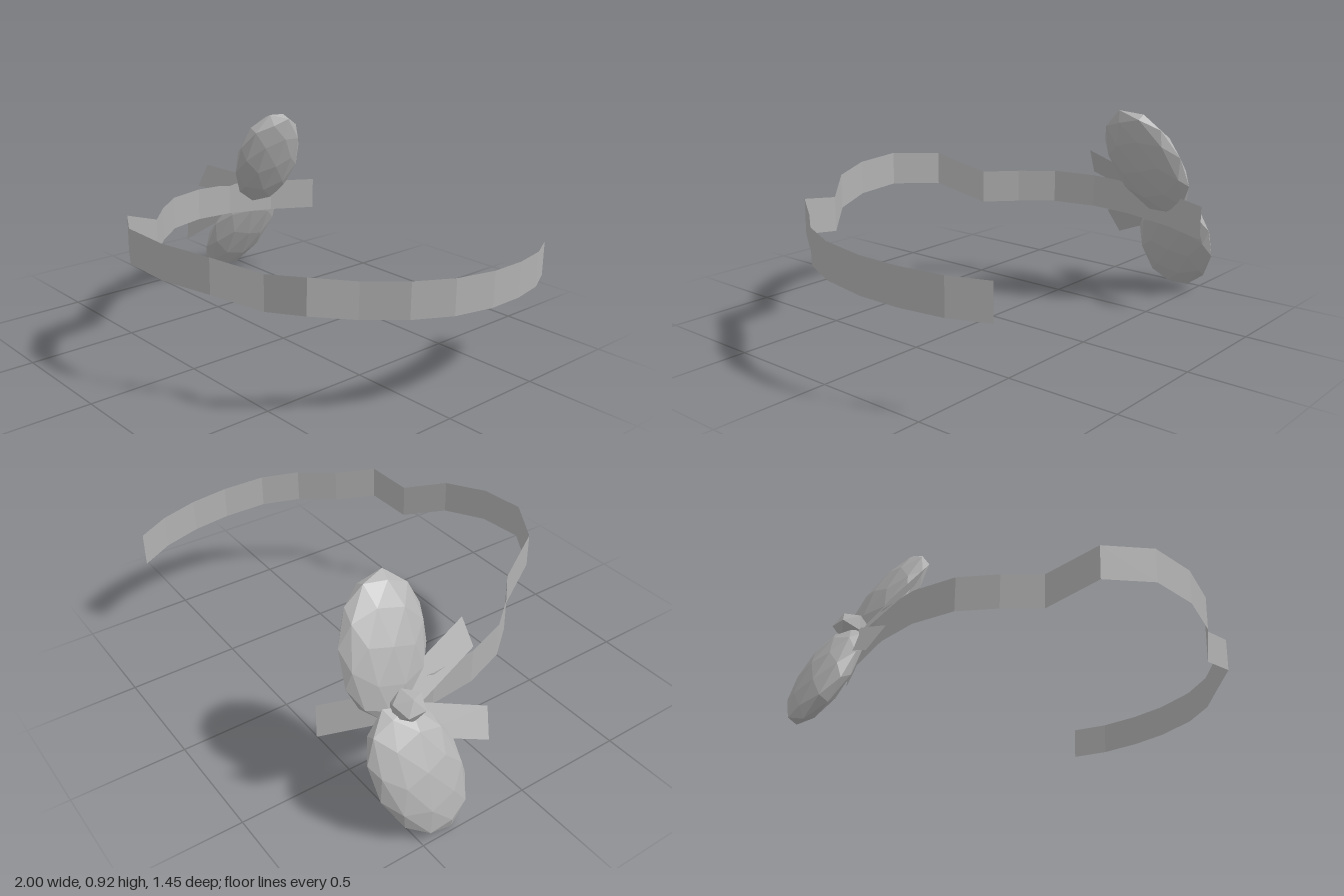
import * as THREE from 'three';

const grey = new THREE.MeshStandardMaterial({ color: 0xb2b2b2, flatShading: true, side: THREE.DoubleSide });
grey.name = 'plain grey';

// Open strip of quads between pairs of points [bottom, top]
function strip(name, pairs) {
  const pos = [], idx = [];
  pairs.forEach(([a, b], i) => {
    pos.push(...a, ...b);
    if (i > 0) {
      const k = 2 * i;
      idx.push(k - 2, k, k - 1, k - 1, k, k + 1);
    }
  });
  const indexed = new THREE.BufferGeometry();
  indexed.setAttribute('position', new THREE.Float32BufferAttribute(pos, 3));
  indexed.setIndex(idx);
  const geo = indexed.toNonIndexed();
  geo.computeVertexNormals();
  const mesh = new THREE.Mesh(geo, grey);
  mesh.name = name;
  return mesh;
}

// Flattened faceted loop of the bow; its length runs along the given axis
function bowLoop(name, center, axis) {
  const u = new THREE.Vector3(...axis).normalize();
  const n = new THREE.Vector3(u.y, -u.x, 0).normalize();
  const w = new THREE.Vector3().crossVectors(n, u);
  const geo = new THREE.IcosahedronGeometry(1, 1);
  geo.scale(0.074, 0.288, 0.194);
  geo.applyMatrix4(new THREE.Matrix4().makeBasis(n, u, w));
  geo.translate(...center);
  const mesh = new THREE.Mesh(geo, grey);
  mesh.name = name;
  return mesh;
}

// Flat ribbon tail from its two outer corners back to the knot
function bowTail(name, low, high, toKnot) {
  const back = (p) => p.map((v, i) => v + toKnot[i]);
  return strip(name, [[low, high], [back(low), back(high)]]);
}

export function createModel() {
  const model = new THREE.Group();
  model.name = 'headbandWithBow';

  // Band: x, top edge y, z around the head
  const path = [
    [-0.595, 0.515, -0.705], [-0.68, 0.525, -0.49], [-0.72, 0.54, -0.25],
    [-0.71, 0.55, -0.05], [-0.645, 0.557, 0.14], [-0.53, 0.557, 0.28],
    [-0.40, 0.557, 0.40], [-0.30, 0.64, 0.61], [-0.10, 0.655, 0.725],
    [0.12, 0.645, 0.715], [0.32, 0.625, 0.635], [0.48, 0.57, 0.50],
    [0.68, 0.604, 0.46], [0.79, 0.582, 0.30], [0.91, 0.58, 0.15],
    [0.98, 0.572, -0.02], [1.0, 0.56, -0.22], [0.985, 0.552, -0.40],
    [0.94, 0.543, -0.575], [0.86, 0.535, -0.725],
  ];
  const height = 0.153;
  model.add(strip('band', path.map(([x, y, z]) => [[x, y - height, z], [x, y, z]])));

  // Bow
  const bow = new THREE.Group();
  bow.name = 'bow';
  bow.add(bowLoop('upperBowLoop', [-0.608, 0.672, -0.408], [0.21, 0.44, 0.14]));
  bow.add(bowLoop('lowerBowLoop', [-0.862, 0.253, -0.43], [-0.21, -0.44, 0.14]));

  const knot = new THREE.Mesh(new THREE.IcosahedronGeometry(1, 0), grey);
  knot.name = 'bowKnot';
  knot.scale.set(0.08, 0.064, 0.078);
  knot.position.set(-0.768, 0.493, -0.415);
  bow.add(knot);

  bow.add(bowTail('upperBowTail', [-0.71, 0.57, -0.05], [-0.65, 0.685, -0.065], [-0.05, -0.13, -0.33]));
  bow.add(bowTail('lowerBowTail', [-0.885, 0.24, -0.095], [-0.825, 0.355, -0.06], [0.07, 0.13, -0.32]));
  model.add(bow);
  return model;
}
